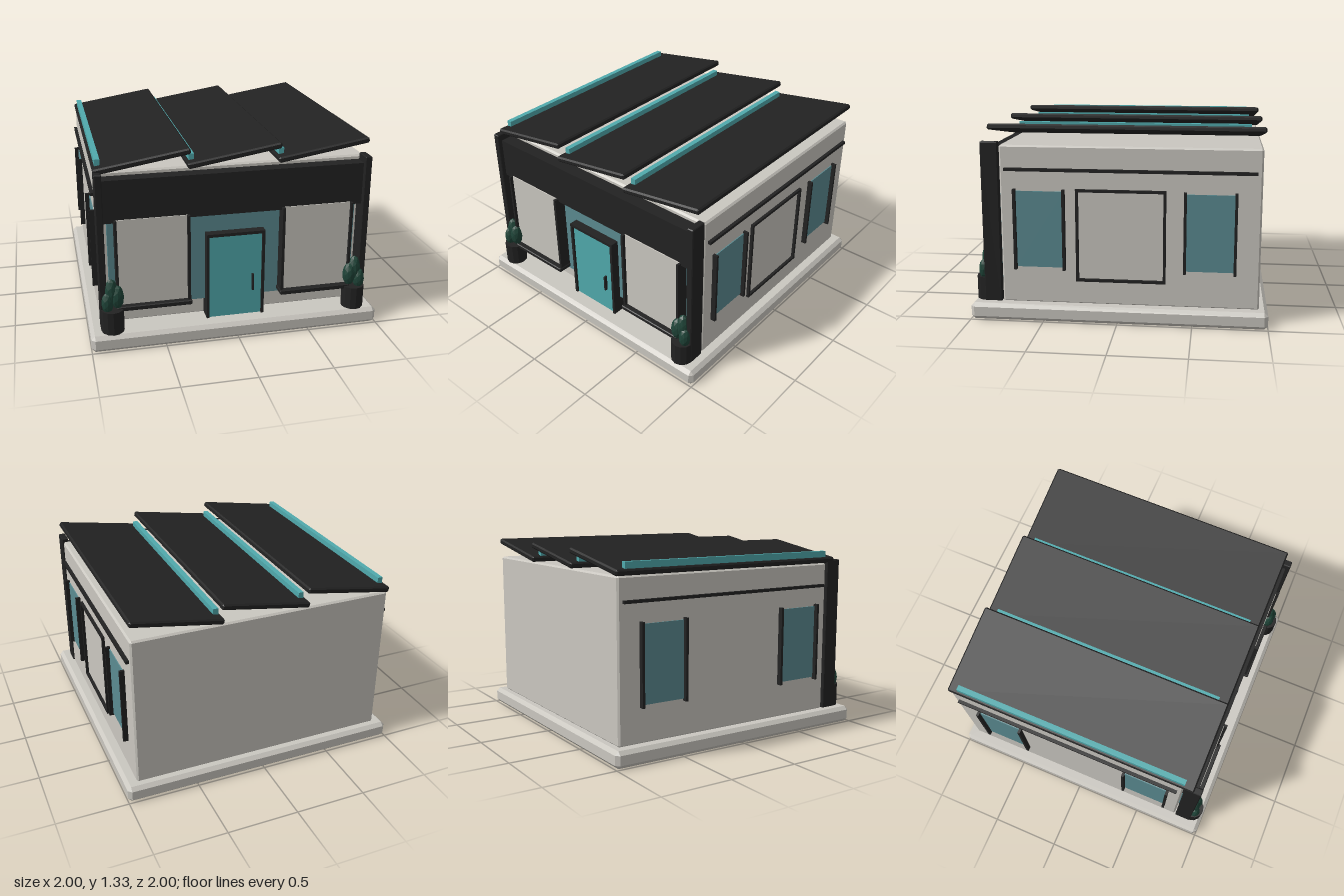
import * as THREE from 'three';
import { ConvexGeometry } from 'three/addons/geometries/ConvexGeometry.js';

const material = (name, color) => {
  const m = new THREE.MeshStandardMaterial({ color });
  m.name = name;
  return m;
};

// Box with one flat chamfer along every edge
function chamferBox(w, h, d, c) {
  const pts = [];
  for (const x of [-1, 1]) for (const y of [-1, 1]) for (const z of [-1, 1]) {
    for (let axis = 0; axis < 3; axis++) {
      const inset = [c, c, c];
      inset[axis] = 0;
      pts.push(new THREE.Vector3(x * (w / 2 - inset[0]), y * (h / 2 - inset[1]), z * (d / 2 - inset[2])));
    }
  }
  return new ConvexGeometry(pts);
}

export function createModel() {
  const model = new THREE.Group();
  model.name = 'building';

  const wall = material('warm white', 0xcac7c0);
  const dark = material('charcoal', 0x222222);
  const teal = material('teal', 0x50aaad);
  const glass = material('window glass', 0x5b8b91);
  const green = material('dark green', 0x1f4438);

  // Add a box by its extents, with an optional chamfer
  function box(name, mat, [x0, x1], [y0, y1], [z0, z1], chamfer = 0) {
    const size = [x1 - x0, y1 - y0, z1 - z0];
    const geo = chamfer ? chamferBox(...size, chamfer) : new THREE.BoxGeometry(...size);
    const mesh = new THREE.Mesh(geo, mat);
    mesh.name = name;
    mesh.position.set((x0 + x1) / 2, (y0 + y1) / 2, (z0 + z1) / 2);
    model.add(mesh);
    return mesh;
  }
  // Extents ordered for the chosen side of the building
  const side = (s, a, b) => (s > 0 ? [a, b] : [-b, -a]);

  // Base and main walls
  box('base', wall, [-1, 1], [0, 0.115], [-1, 1], 0.025);
  box('walls', wall, [-0.92, 0.92], [0.11, 1.19], [-0.94, 0.79], 0.012);

  // Front: glazing, fascia beam and header
  box('frontGlass', glass, [-0.855, 0.855], [0.24, 0.9], [0.78, 0.83]);
  box('fasciaBeam', dark, [-0.89, 0.89], [0.87, 1.16], [0.78, 0.885]);

  for (const s of [1, -1]) {
    // Corner pillar
    box('pillar', dark, side(s, 0.88, 0.927), [0.112, 1.21], [0.797, 0.915], 0.005);
    // Solid display panel with jambs and sill
    box('frontPanel', wall, side(s, 0.33, 0.8), [0.28, 0.89], [0.82, 0.892]);
    box('panelJamb', dark, side(s, 0.315, 0.334), [0.26, 0.89], [0.82, 0.915]);
    box('panelJamb', dark, side(s, 0.797, 0.813), [0.26, 0.89], [0.82, 0.915]);
    box('panelSill', dark, side(s, 0.31, 0.815), [0.255, 0.287], [0.82, 0.932], 0.005);

    // Planter pot
    const pot = new THREE.Mesh(
      new THREE.CylinderGeometry(0.077, 0.077, 0.162, 12).toNonIndexed(), dark);
    pot.geometry.computeVertexNormals();
    pot.name = 'planterPot';
    pot.position.set(s * 0.848, 0.194, 0.91);
    model.add(pot);

    // Three leafy clumps: x, y, z, radius, half height
    for (const [x, y, z, r, h] of [
      [0.85, 0.39, 0.905, 0.045, 0.1],
      [0.812, 0.36, 0.915, 0.045, 0.085],
      [0.88, 0.325, 0.925, 0.04, 0.075],
    ]) {
      const geo = new THREE.IcosahedronGeometry(1, 1);
      geo.scale(r, h, r);
      geo.computeVertexNormals();
      const leaf = new THREE.Mesh(geo, green);
      leaf.name = 'shrub';
      leaf.position.set(s * x, y, z);
      model.add(leaf);
    }

    // Side trim strip
    box('sideTrim', dark, side(s, 0.91, 0.943), [1.02, 1.04], [-0.905, 0.755]);

    // Side windows with upright posts
    for (const [z0, z1] of [[-0.775, -0.445], [0.36, 0.69]]) {
      box('sideWindow', glass, side(s, 0.915, 0.927), [0.365, 0.885], [z0, z1]);
      for (const z of [z0, z1]) {
        box('windowPost', dark, side(s, 0.91, 0.955), [0.35, 0.9], [z - 0.009, z + 0.009]);
      }
    }
  }

  // Square outline between the windows on the left wall
  for (const z of [-0.311, 0.271]) {
    box('wallFrameUpright', dark, [0.91, 0.94], [0.275, 0.905], [z - 0.009, z + 0.009]);
  }
  for (const y of [0.284, 0.896]) {
    box('wallFrameRail', dark, [0.91, 0.94], [y - 0.009, y + 0.009], [-0.32, 0.28]);
  }

  // Door, frame and handle
  box('door', teal, [-0.185, 0.185], [0.11, 0.718], [0.79, 0.878]);
  for (const s of [1, -1]) {
    box('doorPost', dark, side(s, 0.183, 0.202), [0.11, 0.735], [0.79, 0.893]);
  }
  box('doorLintel', dark, [-0.202, 0.202], [0.714, 0.735], [0.79, 0.893]);
  box('doorHandle', dark, [0.115, 0.127], [0.3, 0.42], [0.87, 0.9]);

  // Sawtooth roof: three tilted slabs, each with an upright light strip at its low edge
  for (let i = -1; i <= 1; i++) {
    const x = i * 0.611 - 0.002;
    const slab = new THREE.Mesh(chamferBox(0.638, 0.04, 1.815, 0.01), dark);
    slab.name = 'roofSlab';
    slab.position.set(x, 1.26, -0.045);
    slab.rotation.z = 0.163;
    model.add(slab);
    box('roofLight', teal, [x - 0.298, x - 0.262], [1.2, 1.275], [-0.88, 0.79]);
  }

  return model;
}
